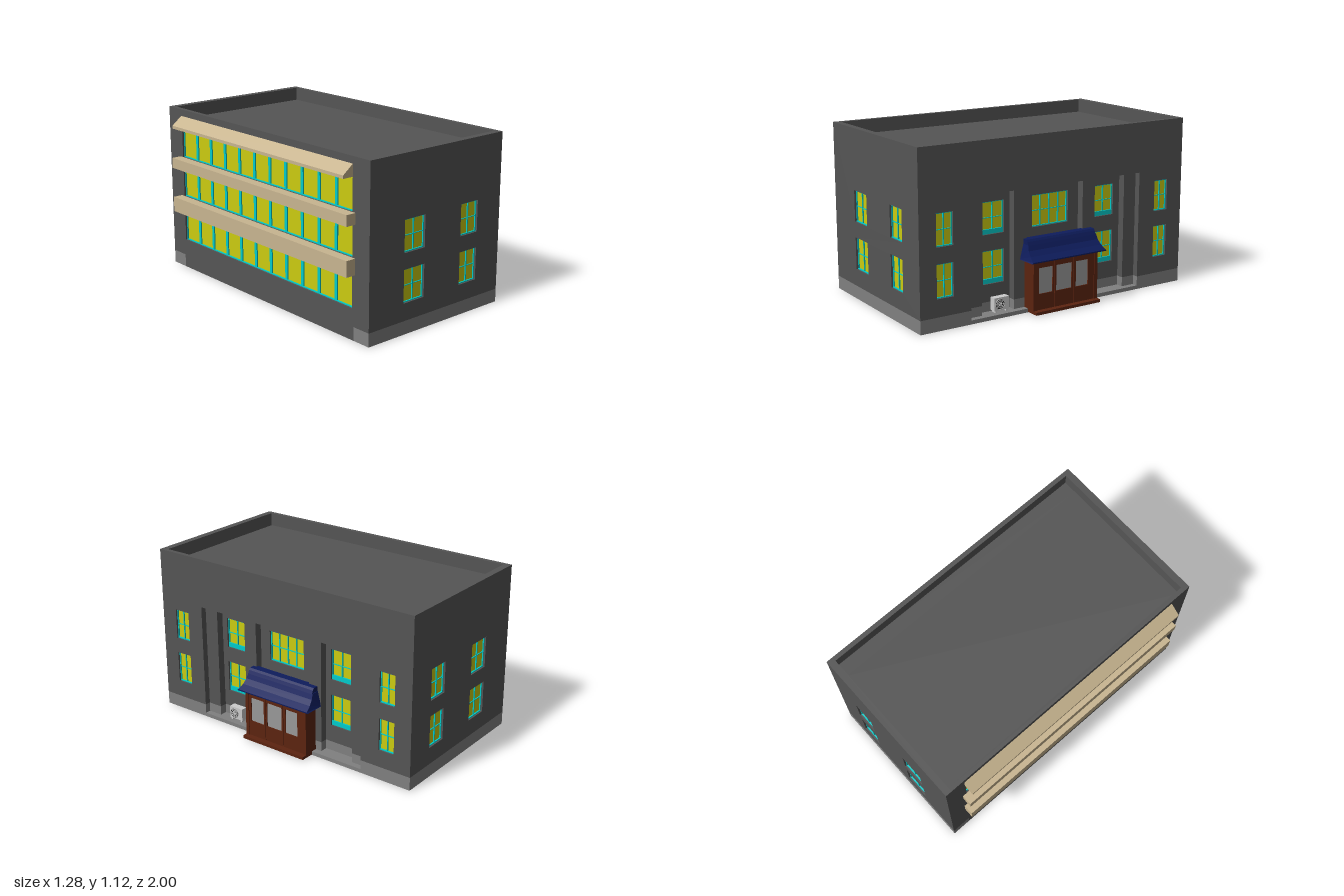
import * as THREE from 'three';

const mat = (color) => new THREE.MeshStandardMaterial({ color, side: THREE.DoubleSide });
const M = {
  wall: mat(0x555555), base: mat(0x808080), glow: mat(0xcccc11), frame: mat(0x00cccc), tan: mat(0xc8b590),
  wood: mat(0x5c2410), navy: mat(0x0e1c5c), glass: mat(0x999999), grey: mat(0xcccccc), dark: mat(0x333333),
};
const X0 = -0.57, X1 = 0.545, H = 1.12, ROOF = 1.03, BASE = 0.087;

function add(parent, name, geo, material) {
  const m = new THREE.Mesh(geo, material);
  m.name = name;
  parent.add(m);
  return m;
}

// Box given by its limits on each axis
function box(parent, name, material, x0, x1, y0, y1, z0, z1) {
  const m = add(parent, name, new THREE.BoxGeometry(x1 - x0, y1 - y0, z1 - z0), material);
  m.position.set((x0 + x1) / 2, (y0 + y1) / 2, (z0 + z1) / 2);
}

// Wall panel with rectangular openings; outer face at local z = 0
function panel(parent, name, material, outline, holes, depth) {
  const s = new THREE.Shape(outline.map(([x, y]) => new THREE.Vector2(x, y)));
  for (const { u0, u1, v0, v1 } of holes)
    s.holes.push(new THREE.Path([[u0, v0], [u0, v1], [u1, v1], [u1, v0]].map(([x, y]) => new THREE.Vector2(x, y))));
  const geo = new THREE.ExtrudeGeometry(s, { depth, bevelEnabled: false });
  geo.translate(0, 0, -depth);
  return add(parent, name, geo, material);
}

const rect = (u0, u1, v0, v1) => [[u0, v0], [u1, v0], [u1, v1], [u0, v1]];
const win = (u0, u1, v0, v1, cols = 2, rows = 2, sill = 0.006) => ({ u0, u1, v0, v1, cols, rows, sill });

// Lit pane with frame and glazing bars, set back in its opening
function addWindow(parent, { u0, u1, v0, v1, cols, rows, sill }, bar = 0.006) {
  const g = new THREE.Group();
  g.name = 'window';
  parent.add(g);
  box(g, 'pane', M.glow, u0, u1, v0, v1, -0.028, -0.02);
  const f = 0.006;
  for (let i = 0; i <= cols; i++) {
    const c = u0 + ((u1 - u0) * i) / cols;
    const a = i === 0 ? u0 : i === cols ? u1 - f : c - bar / 2;
    const w = i === 0 || i === cols ? f : bar;
    box(g, 'uprightBar', M.frame, a, a + w, v0, v1, -0.02, -0.012);
  }
  for (let j = 1; j < rows; j++) {
    const c = v0 + ((v1 - v0) * j) / rows;
    box(g, 'crossBar', M.frame, u0, u1, c - 0.002, c + 0.002, -0.02, -0.013);
  }
  box(g, 'sill', M.frame, u0, u1, v0, v0 + sill, -0.02, -0.01);
  box(g, 'head', M.frame, u0, u1, v1 - f, v1, -0.02, -0.01);
}

// One side of the building, turned to face outward
function facade(parent, name, x, z, turn, outline, windows, depth, bar) {
  const g = new THREE.Group();
  g.name = name;
  g.position.set(x, 0, z);
  g.rotation.y = turn;
  parent.add(g);
  panel(g, name + 'Wall', M.wall, outline, windows, depth);
  windows.forEach((w) => addWindow(g, w, bar));
}

const floors = [[0.2, 0.412], [0.515, 0.72]];
const stack = (u0, u1, sill) => floors.map(([a, b]) => win(u0, u1, a, b, 2, 2, sill));

function addBuilding(g) {
  box(g, 'core', M.wall, X0 + 0.03, 0.425, 0, ROOF, -0.955, 0.955);

  // Front and back
  facade(g, 'front', 0, 1, 0, rect(X0, X1, BASE, H), [...stack(-0.29, -0.12), ...stack(0.19, 0.34)], 0.045);
  facade(g, 'back', 0, -1, Math.PI, rect(-X1, -X0, BASE, H), [...stack(0.12, 0.29), ...stack(-0.34, -0.19)], 0.045);
  for (const [a, b] of [[0.955, 1], [-1, -0.955]]) box(g, 'plinth', M.base, X0, X1, 0, BASE, a, b);

  // Long side with the ribbon windows
  const rows = [[0.2, 0.412], [0.515, 0.72], [0.79, 1.0]];
  facade(g, 'left', X0, 0, -Math.PI / 2, rect(-0.955, 0.955, BASE, H),
    rows.map(([a, b]) => win(-0.855, 0.855, a, b, 11, 1)), 0.03, 0.022);
  box(g, 'leftFooting', M.wall, X0, X0 + 0.03, 0, BASE, -0.87, 0.87);
  for (const [a, b] of [[-0.955, -0.87], [0.87, 0.955]]) box(g, 'leftPlinth', M.base, X0, X0 + 0.03, 0, BASE, a, b);
  for (const [a, b] of [[0.413, 0.515], [0.72, 0.79]]) box(g, 'ledge', M.tan, -0.638, X0, a, b, -0.885, 0.88);
  const awning = panel(g, 'awning', M.tan, [[X0, 0.998], [X0, 1.075], [-0.643, 1.018], [-0.643, 0.998]], [], 1.715);
  awning.position.z = 0.855;

  // Entrance side: outer wall with a wide notch, u = -z
  const notch = [[-0.955, BASE], [-0.65, BASE], [-0.65, 0.79], [0.64, 0.79], [0.64, BASE], [0.955, BASE], [0.955, ROOF], [-0.955, ROOF]];
  facade(g, 'right', X1, 0, Math.PI / 2, notch, [...stack(-0.885, -0.77), ...stack(0.77, 0.88)], 0.12);
  box(g, 'rightParapet', M.wall, X1 - 0.03, X1, ROOF, H, -0.955, 0.955);
  for (const [a, b] of [[-0.955, -0.64], [0.65, 0.955]]) box(g, 'rightPlinth', M.base, 0.425, X1, 0, BASE, a, b);
  box(g, 'recessFloor', M.base, 0.425, X1, 0, 0.025, -0.64, 0.65);
  facade(g, 'recess', 0.455, 0, Math.PI / 2, rect(-0.65, 0.64, BASE, 0.79),
    [...stack(-0.51, -0.355, 0.03), ...stack(0.345, 0.495, 0.03), win(-0.145, 0.13, 0.515, 0.72, 4, 2)], 0.03);
  box(g, 'recessPlinth', M.base, 0.425, 0.455, 0.025, BASE, -0.64, 0.65);
  for (const [a, b] of [[0.55, 0.65], [0.22, 0.315], [-0.305, -0.21], [-0.64, -0.545]]) {
    box(g, 'pillar', M.wall, 0.455, 0.505, BASE, 0.79, a, b);
    box(g, 'pillarBase', M.base, 0.455, 0.505, 0.025, BASE, a, b);
  }
}

function addPorch(parent) {
  const g = new THREE.Group();
  g.name = 'porch';
  parent.add(g);
  box(g, 'porchBody', M.wood, 0.455, 0.588, 0.003, 0.34, -0.26, 0.235);
  box(g, 'step', M.wood, 0.588, 0.638, 0.003, 0.022, -0.26, 0.235);

  // Glazed front: outer frame, then three door leaves
  const front = new THREE.Group();
  front.name = 'porchFront';
  front.position.x = 0.605;
  front.rotation.y = Math.PI / 2;
  g.add(front);
  panel(front, 'doorFrame', M.wood, rect(-0.235, 0.26, 0.003, 0.34), [win(-0.21, 0.235, 0.022, 0.325)], 0.017);
  for (const [a, b, c, d] of [[-0.21, -0.075, -0.192, -0.087], [-0.071, 0.071, -0.06, 0.06], [0.075, 0.235, 0.092, 0.188]]) {
    const leaf = panel(front, 'doorLeaf', M.wood, rect(a, b, 0.022, 0.325), [win(c, d, 0.125, 0.292)], 0.012);
    leaf.position.z = -0.005;
    box(front, 'doorGlass', M.glass, c, d, 0.125, 0.292, -0.016, -0.011);
  }

  // Flared roof: curved profile, its ends narrowing toward the ridge
  const profile = [[0.49, 0.338], [0.64, 0.338], [0.64, 0.346], [0.6, 0.372], [0.572, 0.402], [0.558, 0.436], [0.49, 0.436]];
  const roof = panel(g, 'porchRoof', M.navy, profile, [], 1);
  const p = roof.geometry.attributes.position;
  for (let i = 0; i < p.count; i++) {
    const rise = Math.max(0, (p.getY(i) - 0.338) / 0.098);
    const half = 0.287 - 0.025 * Math.sqrt(rise);
    p.setZ(i, -0.017 + (p.getZ(i) > -0.5 ? half : -half));
  }
  roof.geometry.computeVertexNormals();
  const ridge = panel(g, 'porchRidge', M.navy, [[0.49, 0.434], [0.56, 0.434], [0.55, 0.455], [0.54, 0.468], [0.49, 0.468]], [], 0.52);
  ridge.position.z = 0.245;
}

// Outdoor cooling unit beside the porch
function addCooler(parent) {
  const g = new THREE.Group();
  g.name = 'coolingUnit';
  g.position.set(0.51, 0.078, 0.408);
  g.rotation.y = Math.PI / 2;
  parent.add(g);
  box(g, 'coolerCase', M.grey, -0.053, 0.053, -0.04, 0.042, -0.045, 0);
  for (const x of [-0.04, 0.04]) box(g, 'coolerFoot', M.grey, x - 0.006, x + 0.006, -0.053, -0.04, -0.04, -0.002);
  const fan = add(g, 'fanOpening', new THREE.CircleGeometry(0.033, 24), M.dark);
  fan.position.set(-0.013, 0, 0.001);
  for (const r of [0.012, 0.023, 0.033])
    add(g, 'fanGuard', new THREE.TorusGeometry(r, 0.002, 6, 24), M.grey).position.set(-0.013, 0, 0.003);
  for (let i = 0; i < 4; i++) {
    const spoke = add(g, 'fanSpoke', new THREE.BoxGeometry(0.066, 0.003, 0.003), M.grey);
    spoke.position.set(-0.013, 0, 0.003);
    spoke.rotation.z = (i * Math.PI) / 4;
  }
}

export function createModel() {
  const g = new THREE.Group();
  g.name = 'building';
  addBuilding(g);
  addPorch(g);
  addCooler(g);
  return g;
}
